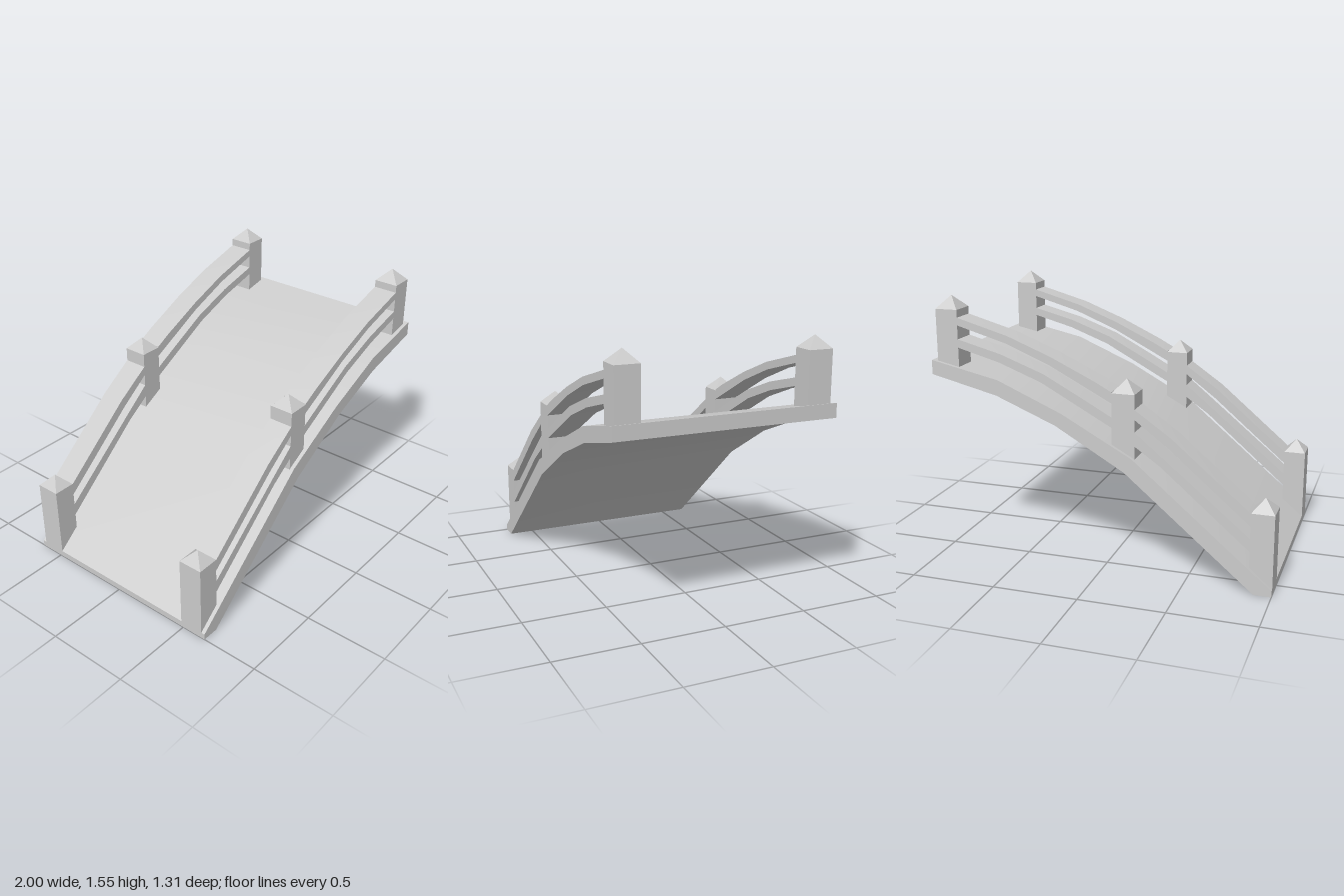
import * as THREE from 'three';
import { toCreasedNormals } from 'three/addons/utils/BufferGeometryUtils.js';

const material = new THREE.MeshStandardMaterial({ color: 0xcccccc });
const DECK_WIDTH = 1.31;
const POST_WIDTH = 0.132;
const POST_DEPTH = 0.146;
const RAIL_Z = 0.559;

// Side profiles, as [x, y] from the low end to the high end
const deckTop = [[-1, 0.036], [-0.2, 0.71], [0.21, 0.934], [0.593, 1.098], [1, 1.187]];
const deckBottom = [[-1, 0], [-0.9, 0], [-0.155, 0.628], [0.25, 0.863], [0.604, 1.008], [1, 1.104]];

// Each rail has a span on either side of the middle post
const railSpans = [
  { name: 'upperRailLow',
    top: [[-0.868, 0.463], [-0.42, 0.842], [-0.21, 0.987]],
    bottom: [[-0.868, 0.39], [-0.406, 0.783], [-0.21, 0.93]] },
  { name: 'upperRailHigh',
    top: [[-0.078, 1.075], [0.016, 1.126], [0.278, 1.249], [0.535, 1.35], [0.84, 1.436]],
    bottom: [[-0.078, 1.012], [0.037, 1.072], [0.283, 1.2], [0.545, 1.307], [0.84, 1.392]] },
  { name: 'lowerRailLow',
    top: [[-0.868, 0.315], [-0.38, 0.719], [-0.21, 0.858]],
    bottom: [[-0.868, 0.24], [-0.358, 0.676], [-0.21, 0.778]] },
  { name: 'lowerRailHigh',
    top: [[-0.078, 0.932], [0.08, 1.019], [0.32, 1.147], [0.578, 1.243], [0.84, 1.312]],
    bottom: [[-0.078, 0.873], [0.1, 0.97], [0.337, 1.099], [0.588, 1.195], [0.84, 1.264]] },
];

const posts = [
  { name: 'lowPost', x: -0.934, top: 0.465 },
  { name: 'middlePost', x: -0.144, top: 1.07 },
  { name: 'highPost', x: 0.906, top: 1.48 },
];

// Height of the walking surface at x
function deckHeight(x) {
  const i = Math.max(1, deckTop.findIndex((p) => p[0] >= x));
  const [x0, y0] = deckTop[i - 1];
  const [x1, y1] = deckTop[i];
  return y0 + ((y1 - y0) * (x - x0)) / (x1 - x0);
}

// Extrudes the band between two profiles, centred on z
function band(name, bottom, top, depth, z = 0) {
  const outline = [...bottom, ...[...top].reverse()].map(([x, y]) => new THREE.Vector2(x, y));
  const extruded = new THREE.ExtrudeGeometry(new THREE.Shape(outline), { depth, bevelEnabled: false });
  extruded.translate(0, 0, z - depth / 2);
  const mesh = new THREE.Mesh(toCreasedNormals(extruded, 0.6), material);
  mesh.name = name;
  return mesh;
}

// Square post cut to the deck slope, with a pyramid cap
function makePost({ name, x, top }, z) {
  const group = new THREE.Group();
  group.name = name;
  const x0 = x - POST_WIDTH / 2;
  const x1 = x + POST_WIDTH / 2;
  const foot = [[x0, deckHeight(x0) - 0.005], [x1, deckHeight(x1) - 0.005]];
  group.add(band('postShaft', foot, [[x0, top], [x1, top]], POST_DEPTH, z));

  const pyramid = new THREE.ConeGeometry(Math.SQRT1_2, 0.072, 4).rotateY(Math.PI / 4);
  pyramid.scale(POST_WIDTH, 1, POST_DEPTH);
  const cap = new THREE.Mesh(toCreasedNormals(pyramid, 0.3), material);
  cap.position.set(x, top + 0.036, z);
  cap.name = 'postCap';
  group.add(cap);
  return group;
}

export function createModel() {
  const model = new THREE.Group();
  model.name = 'archedBridgeHalf';

  model.add(band('deck', deckBottom, deckTop, DECK_WIDTH));

  // Matching railings on both sides
  for (const side of [-1, 1]) {
    const railing = new THREE.Group();
    railing.name = side > 0 ? 'frontRailing' : 'backRailing';
    for (const post of posts) railing.add(makePost(post, side * RAIL_Z));
    for (const { name, bottom, top } of railSpans) {
      railing.add(band(name, bottom, top, POST_DEPTH, side * RAIL_Z));
    }
    model.add(railing);
  }
  return model;
}
